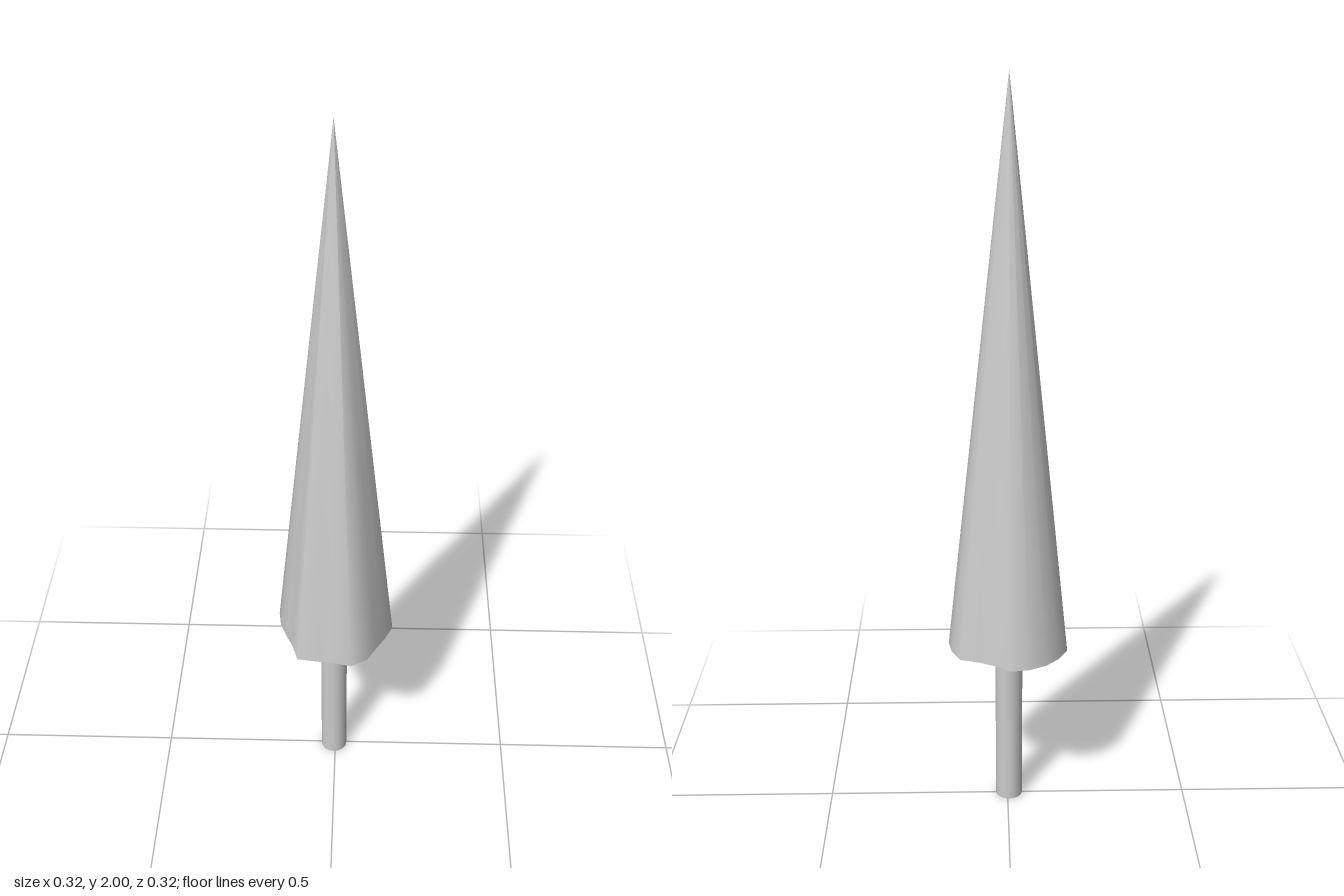
import * as THREE from 'three';
import { toCreasedNormals } from 'three/addons/utils/BufferGeometryUtils.js';

const TRUNK_HEIGHT = 0.48;
const TREE_HEIGHT = 2;
const TRUNK_RADIUS = 0.037;

// Uneven rim of the foliage: one radius every 18 degrees, from +z towards +x
const RIM = [
  0.146, 0.165, 0.161, 0.148, 0.151, 0.165, 0.164, 0.165, 0.14, 0.139,
  0.164, 0.165, 0.165, 0.164, 0.165, 0.15, 0.139, 0.14, 0.166, 0.148,
];

function foliageGeometry() {
  const height = TREE_HEIGHT - TRUNK_HEIGHT;
  const geometry = new THREE.ConeGeometry(1, height, RIM.length, 1);
  const position = geometry.attributes.position;
  // Scale each rim corner by its own radius; apex and cap centre stay put
  for (let i = 0; i < position.count; i++) {
    const x = position.getX(i);
    const z = position.getZ(i);
    const step = Math.round((Math.atan2(x, z) / (2 * Math.PI)) * RIM.length);
    const radius = RIM[(step + RIM.length) % RIM.length];
    position.setX(i, x * radius);
    position.setZ(i, z * radius);
  }
  geometry.translate(0, TRUNK_HEIGHT + height / 2, 0);
  // Smooth sides, sharp edge around the underside
  return toCreasedNormals(geometry, 1.45);
}

export function createModel() {
  const group = new THREE.Group();
  group.name = 'coniferTree';
  const material = new THREE.MeshStandardMaterial({ color: 0xcccccc });

  // Straight round trunk
  const trunk = new THREE.Mesh(
    new THREE.CylinderGeometry(TRUNK_RADIUS, TRUNK_RADIUS, TRUNK_HEIGHT, 16),
    material
  );
  trunk.name = 'trunk';
  trunk.position.y = TRUNK_HEIGHT / 2;

  // Tall pointed crown
  const foliage = new THREE.Mesh(foliageGeometry(), material);
  foliage.name = 'foliage';

  group.add(trunk, foliage);
  // Centre the uneven outline
  for (const part of group.children) {
    part.position.x = -0.004;
    part.position.z = 0.002;
  }
  return group;
}
